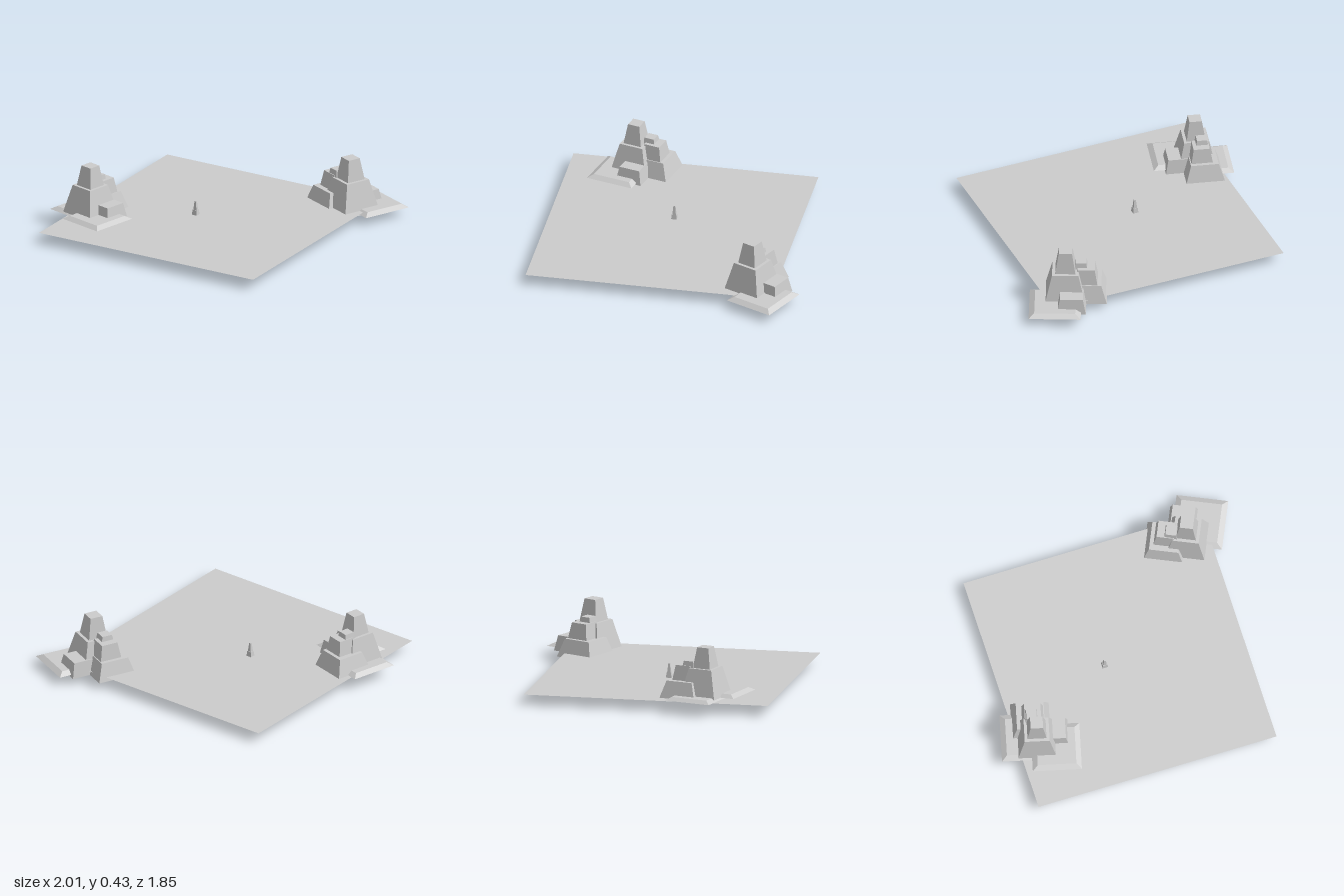
import * as THREE from 'three';

const material = new THREE.MeshStandardMaterial({ color: 0xcccccc, flatShading: true });
const thin = new THREE.MeshStandardMaterial({ color: 0xcccccc, side: THREE.DoubleSide });

// Square block with sloping sides: half-widths at bottom and top, between two heights
function block(name, x, z, y0, y1, bottom, top) {
  const geometry = new THREE.CylinderGeometry(top * Math.SQRT2, bottom * Math.SQRT2, y1 - y0, 4);
  geometry.rotateY(Math.PI / 4);
  const mesh = new THREE.Mesh(geometry, material);
  mesh.position.set(x, (y0 + y1) / 2, z);
  mesh.name = name;
  return mesh;
}

// Group of stepped rocks standing on two low slabs
function rockCluster(name) {
  const group = new THREE.Group();
  group.name = name;
  group.add(
    block('lowSlab', -0.075, -0.022, 0.004, 0.025, 0.165, 0.13),
    block('highSlab', 0.128, 0.062, 0.014, 0.035, 0.165, 0.13),
    // main tower
    block('mainTowerBase', 0, 0, 0, 0.205, 0.132, 0.084),
    block('mainTowerTop', 0, 0, 0.205, 0.345, 0.064, 0.042),
    // second, lower tower
    block('sideTowerBase', -0.035, -0.134, 0, 0.115, 0.13, 0.094),
    block('sideTowerMiddle', -0.02, -0.131, 0.1, 0.216, 0.075, 0.055),
    block('sideTowerCap', -0.03, -0.097, 0.14, 0.248, 0.054, 0.034),
    // small boulder
    block('boulder', 0.123, -0.042, 0, 0.098, 0.092, 0.073)
  );
  return group;
}

export function createModel() {
  const model = new THREE.Group();
  model.name = 'rockLandscape';

  // Flat ground sheet
  const ground = new THREE.Mesh(new THREE.PlaneGeometry(1.675, 1.675).rotateX(-Math.PI / 2), thin);
  ground.name = 'groundSheet';
  ground.position.set(-0.025, 0.07, 0.085);
  model.add(ground);

  // The same cluster placed twice
  const left = rockCluster('frontRocks');
  left.position.set(-0.733, 0.084, 0.468);
  left.rotation.y = -0.253;
  const right = rockCluster('backRocks');
  right.position.set(0.663, 0.042, -0.6);
  right.rotation.y = 1.143;
  right.scale.setScalar(1.06);
  model.add(left, right);

  // Small loose rocks, with one spire rising through the sheet
  const small = new THREE.Group();
  small.name = 'smallRocks';
  small.add(
    block('spireBase', -0.135, 0.09, 0.013, 0.045, 0.045, 0.033),
    block('spireMiddle', -0.135, 0.09, 0.045, 0.105, 0.022, 0.015),
    block('spireTop', -0.135, 0.09, 0.105, 0.166, 0.012, 0.006),
    block('smallFrontRock', -0.028, 0.09, 0.005, 0.064, 0.054, 0.037),
    block('smallBackRock', -0.092, -0.065, 0.005, 0.046, 0.042, 0.025),
    block('smallSlab', 0.082, -0.065, 0, 0.01, 0.042, 0.034)
  );
  model.add(small);
  return model;
}
